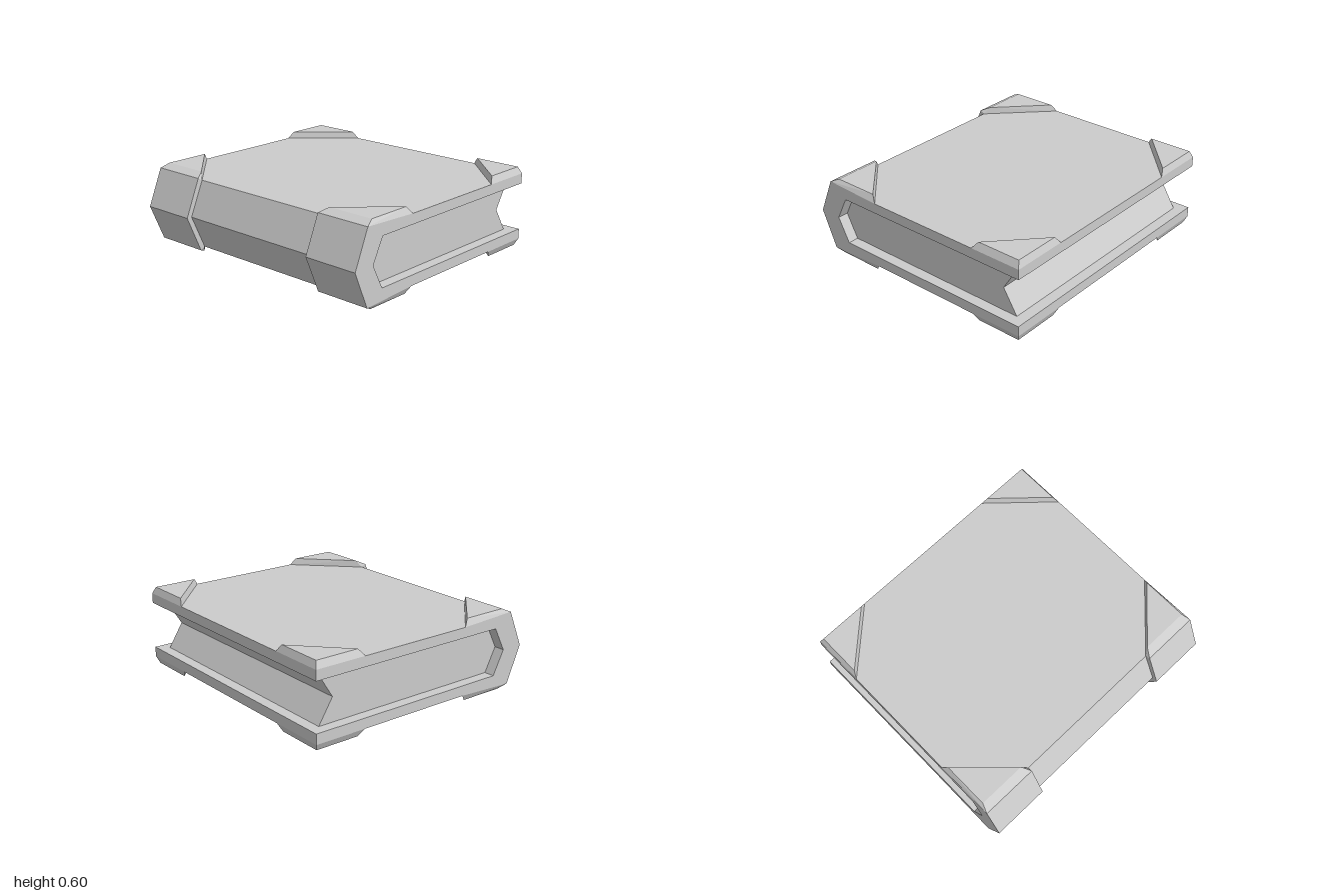
import * as THREE from 'three';
import { ConvexGeometry } from 'three/addons/geometries/ConvexGeometry.js';

const MID = 0.3; // height of the book's mirror plane

export function createModel() {
  const group = new THREE.Group();
  const material = new THREE.MeshStandardMaterial({ color: 0xcccccc, flatShading: true });

  const add = (name, geometry) => {
    const mesh = new THREE.Mesh(geometry, material);
    mesh.name = name;
    group.add(mesh);
  };

  // Extrudes an x/y outline from z0 to z1
  const prism = (points, z0, z1) => {
    const shape = new THREE.Shape(points.map(([x, y]) => new THREE.Vector2(x, y)));
    const geometry = new THREE.ExtrudeGeometry(shape, { depth: z1 - z0, bevelEnabled: false });
    return geometry.translate(0, 0, z0);
  };

  // Cover: one folded board with a pointed spine
  add('cover', prism([
    [0.91, 0.05], [0.91, 0.125], [-0.66, 0.125], [-0.75, MID], [-0.66, 0.475],
    [0.91, 0.475], [0.91, 0.55], [-0.77, 0.55], [-0.88, MID], [-0.77, 0.05],
  ], -1, 1));

  // Page block with a V-shaped fore edge
  add('pages', prism([
    [-0.66, 0.125], [0.83, 0.125], [0.72, MID], [0.83, 0.475], [-0.66, 0.475], [-0.75, MID],
  ], -0.92, 0.92));

  // Raised bands around both ends of the spine
  const band = [
    [-0.92, MID], [-0.805, 0.03], [-0.77, 0.05], [-0.88, MID], [-0.77, 0.55], [-0.805, 0.57],
  ];
  add('spineBandFront', prism(band, 0.58, 1));
  add('spineBandBack', prism(band, -1, -0.58));

  // Bevelled corner guards, given for the upper front and mirrored
  const foreCorner = [
    [0.91, 0.55, 1], [0.52, 0.55, 1], [0.91, 0.55, 0.58],
    [0.89, 0.6, 0.975], [0.56, 0.6, 0.975], [0.89, 0.6, 0.62],
  ];
  const spineCorner = [
    [-0.805, 0.57, 1], [-0.805, 0.57, 0.58], [-0.77, 0.55, 1], [-0.77, 0.55, 0.58],
    [-0.36, 0.55, 1], [-0.74, 0.6, 0.975], [-0.4, 0.6, 0.975], [-0.74, 0.6, 0.62],
  ];
  for (const [sideName, points] of [['fore', foreCorner], ['spine', spineCorner]]) {
    for (const sy of [1, -1]) {
      for (const sz of [1, -1]) {
        const corner = points.map(([x, y, z]) => new THREE.Vector3(x, MID + sy * (y - MID), sz * z));
        const name = `${sideName}Corner${sy > 0 ? 'Top' : 'Bottom'}${sz > 0 ? 'Front' : 'Back'}`;
        add(name, new ConvexGeometry(corner));
      }
    }
  }
  return group;
}
